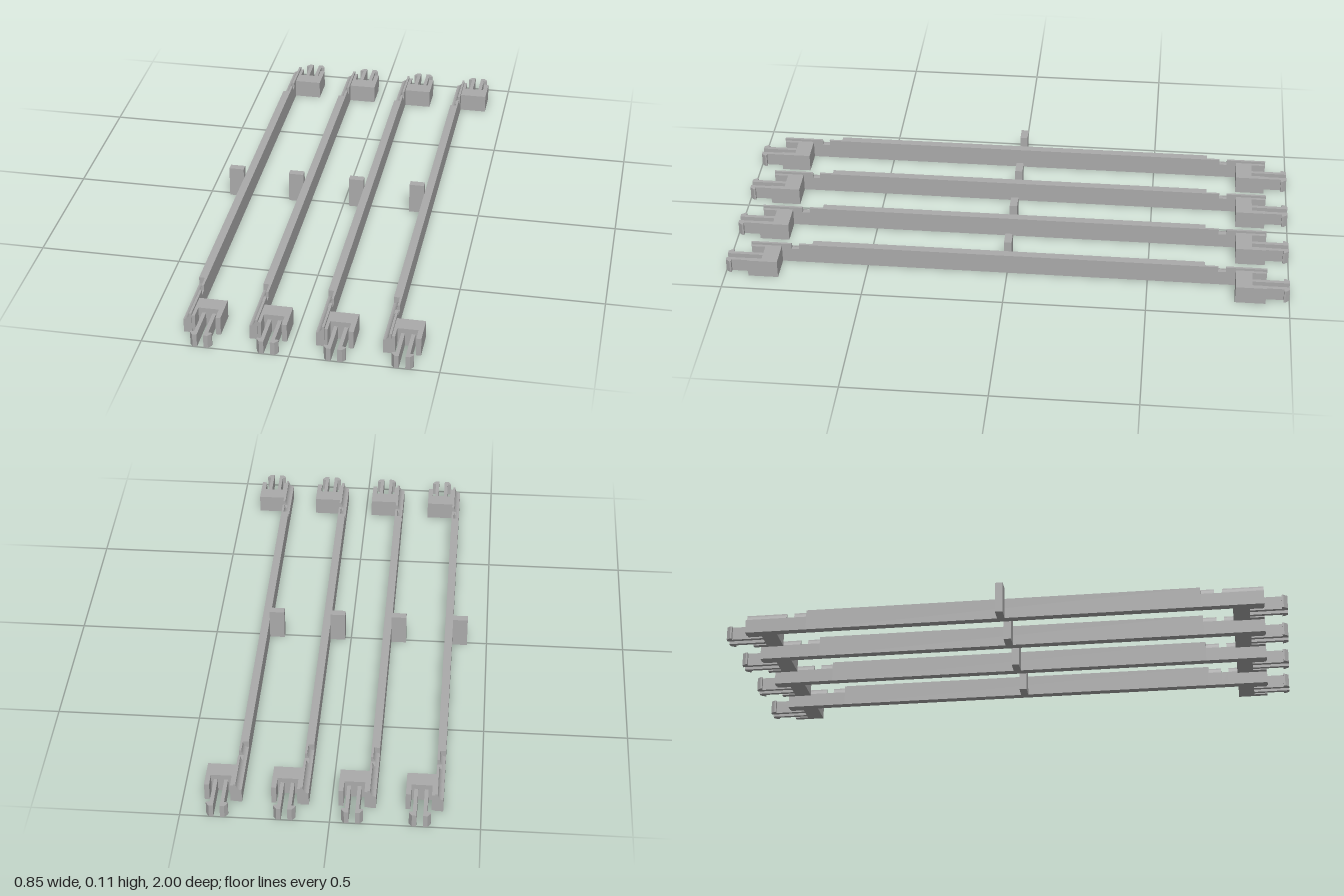
import * as THREE from 'three';

const grey = new THREE.MeshStandardMaterial({ color: 0xaaaaaa });
grey.name = 'grey plastic';

// Lengthwise layout of one rail
const BAR_X0 = -0.374, BAR_X1 = -0.346;
const GROOVE_START = 0.7, NOTCH_START = 0.748, NOTCH_END = 0.775, BAR_END = 0.92;
const BAR_TOP = 0.075, NOTCH_TOP = 0.055;

function shapeOf(points) {
  return new THREE.Shape(points.map(([x, y]) => new THREE.Vector2(x, y)));
}

function addMesh(group, name, geometry) {
  const mesh = new THREE.Mesh(geometry, grey);
  mesh.name = name;
  group.add(mesh);
}

// Cross-section in x, y swept from z0 to z1
function sweep(points, z0, z1) {
  const a = Math.min(z0, z1), b = Math.max(z0, z1);
  const geometry = new THREE.ExtrudeGeometry(shapeOf(points), { depth: b - a, bevelEnabled: false });
  return geometry.translate(0, 0, a);
}

// Floor plan in x, z raised to a height; side = -1 mirrors it to the far end
function raisePlan(points, height, side) {
  const plan = points.map(([x, z]) => [x, -z * side]);
  const geometry = new THREE.ExtrudeGeometry(shapeOf(plan), { depth: height, bevelEnabled: false });
  return geometry.rotateX(-Math.PI / 2);
}

// Bar section with a quarter-round groove along its outer top edge
function groovedSection(top) {
  const rx = 0.02, ry = 0.025, points = [[BAR_X0, 0], [BAR_X1, 0], [BAR_X1, top]];
  const start = Math.asin((BAR_TOP - top) / ry);
  for (let i = 0; i <= 8; i++) {
    const a = start + (Math.PI / 2 - start) * i / 8;
    points.push([BAR_X0 + rx * Math.cos(a), BAR_TOP - ry * Math.sin(a)]);
  }
  return points;
}

function createRail() {
  const rail = new THREE.Group();

  // Long bar
  addMesh(rail, 'bar', sweep(
    [[BAR_X0, 0], [BAR_X1, 0], [BAR_X1, BAR_TOP], [BAR_X0, BAR_TOP]], -GROOVE_START, GROOVE_START));

  // Upright tab at mid length
  const tab = new THREE.BoxGeometry(0.054, 0.113, 0.027);
  addMesh(rail, 'tab', tab.translate(-0.401, 0.0565, 0));

  for (const side of [1, -1]) {
    // Grooved bar ends, interrupted by a notch
    const high = groovedSection(BAR_TOP), low = groovedSection(NOTCH_TOP);
    addMesh(rail, 'innerBarEnd', sweep(high, side * GROOVE_START, side * NOTCH_START));
    addMesh(rail, 'notch', sweep(low, side * NOTCH_START, side * NOTCH_END));
    addMesh(rail, 'outerBarEnd', sweep(high, side * NOTCH_END, side * BAR_END));

    // U-shaped connector block
    addMesh(rail, 'connectorBlock', raisePlan([
      [BAR_X1, 0.81], [-0.248, 0.81], [-0.248, 0.917], [-0.265, 0.917],
      [-0.265, 0.868], [-0.335, 0.868], [-0.335, 0.917], [BAR_X1, 0.917],
    ], 0.066, side));

    // Pair of barbed snap prongs
    for (const hand of [1, -1]) {
      const prong = [
        [0.011, 0.866], [0.024, 0.866], [0.024, 0.98], [0.0365, 0.98],
        [0.0365, 0.986], [0.026, 1], [0.011, 1],
      ].map(([x, z]) => [-0.2985 + hand * x, z]);
      addMesh(rail, 'snapProng', raisePlan(prong, 0.048, side));
    }
  }
  return rail;
}

export function createModel() {
  const model = new THREE.Group();
  model.name = 'railSet';
  for (let i = 0; i < 4; i++) {
    const rail = createRail();
    rail.name = 'rail';
    rail.position.x = i * 0.2247;
    model.add(rail);
  }
  return model;
}
